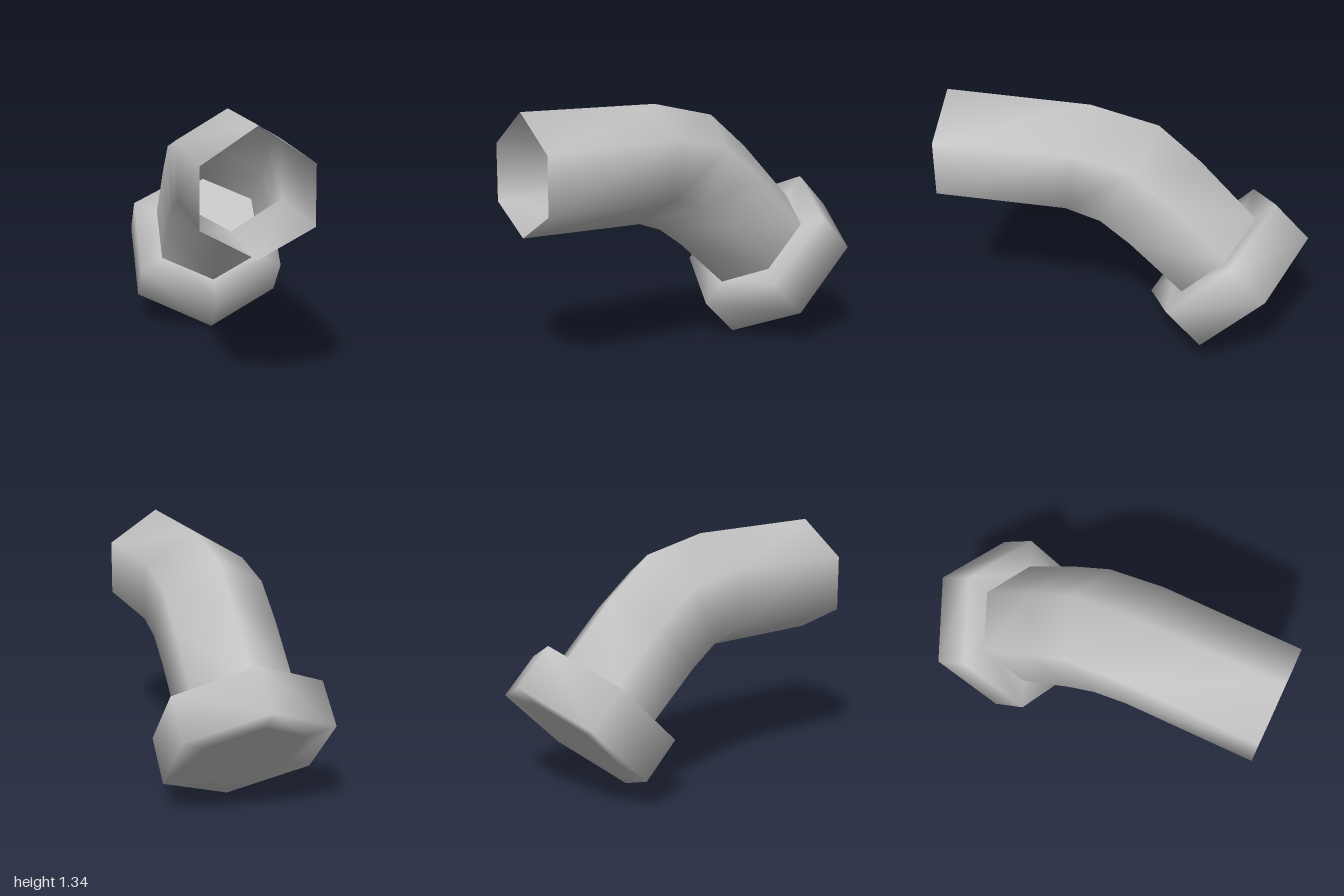
import * as THREE from 'three';

const SIDES = 6;

// Skin a list of six-point rings into one smooth-shaded surface
function loft(rings) {
  const index = [];
  for (let i = 0; i < rings.length - 1; i++) {
    for (let k = 0; k < SIDES; k++) {
      const n = (k + 1) % SIDES;
      const a = i * SIDES + k, b = i * SIDES + n;
      const c = a + SIDES, d = b + SIDES;
      index.push(a, b, c, b, d, c);
    }
  }
  const geometry = new THREE.BufferGeometry();
  geometry.setAttribute('position', new THREE.Float32BufferAttribute(rings.flat(2), 3));
  geometry.setIndex(index);
  geometry.computeVertexNormals();
  return geometry;
}

// Pipe ring from its top and bottom points, given as [z, y]
function pipeRing([tz, ty], [bz, by], upper = 0.25, lower = 0.75) {
  const w = 0.282;
  const at = (x, t) => [x, ty + (by - ty) * t, tz + (bz - tz) * t];
  return [at(0, 0), at(w, upper), at(w, lower), at(0, 1), at(-w, lower), at(-w, upper)];
}

// Hexagonal ring on the 45 degree axis of the flange
function flangeRing([radius, depth]) {
  const s = Math.SQRT1_2;
  return Array.from({ length: SIDES }, (_, k) => {
    const angle = (k / SIDES) * Math.PI * 2;
    const up = radius * Math.cos(angle);
    return [radius * Math.sin(angle), 0.525 + s * (up - depth), -0.475 - s * (up + depth)];
  });
}

export function createModel() {
  const group = new THREE.Group();
  const metal = new THREE.MeshStandardMaterial({ color: 0xc4c4c4, side: THREE.DoubleSide });
  metal.name = 'grey metal';

  const add = (name, geometry) => {
    const mesh = new THREE.Mesh(geometry, metal);
    mesh.name = name;
    group.add(mesh);
  };

  // Open pipe that runs back and bends down
  add('pipe', loft([
    pipeRing([1, 1.343], [1, 0.697], 0.29, 0.765),
    pipeRing([0.2, 1.34], [0.3, 0.695]),
    pipeRing([-0.17, 1.26], [0.17, 0.65]),
    pipeRing([-0.4, 1.07], [0.03, 0.55]),
    pipeRing([-0.71, 0.755], [-0.255, 0.297]),
  ]));

  // Hexagonal flange with a closed, inset end cap
  add('flange', loft([[0.3, 0], [0.475, 0], [0.475, 0.265], [0.31, 0.265], [0, 0.265]].map(flangeRing)));

  // Floor inside the pipe, just above the flange
  add('pipeFloor', loft([[0, -0.12], [0.315, -0.12]].map(flangeRing)));

  return group;
}
